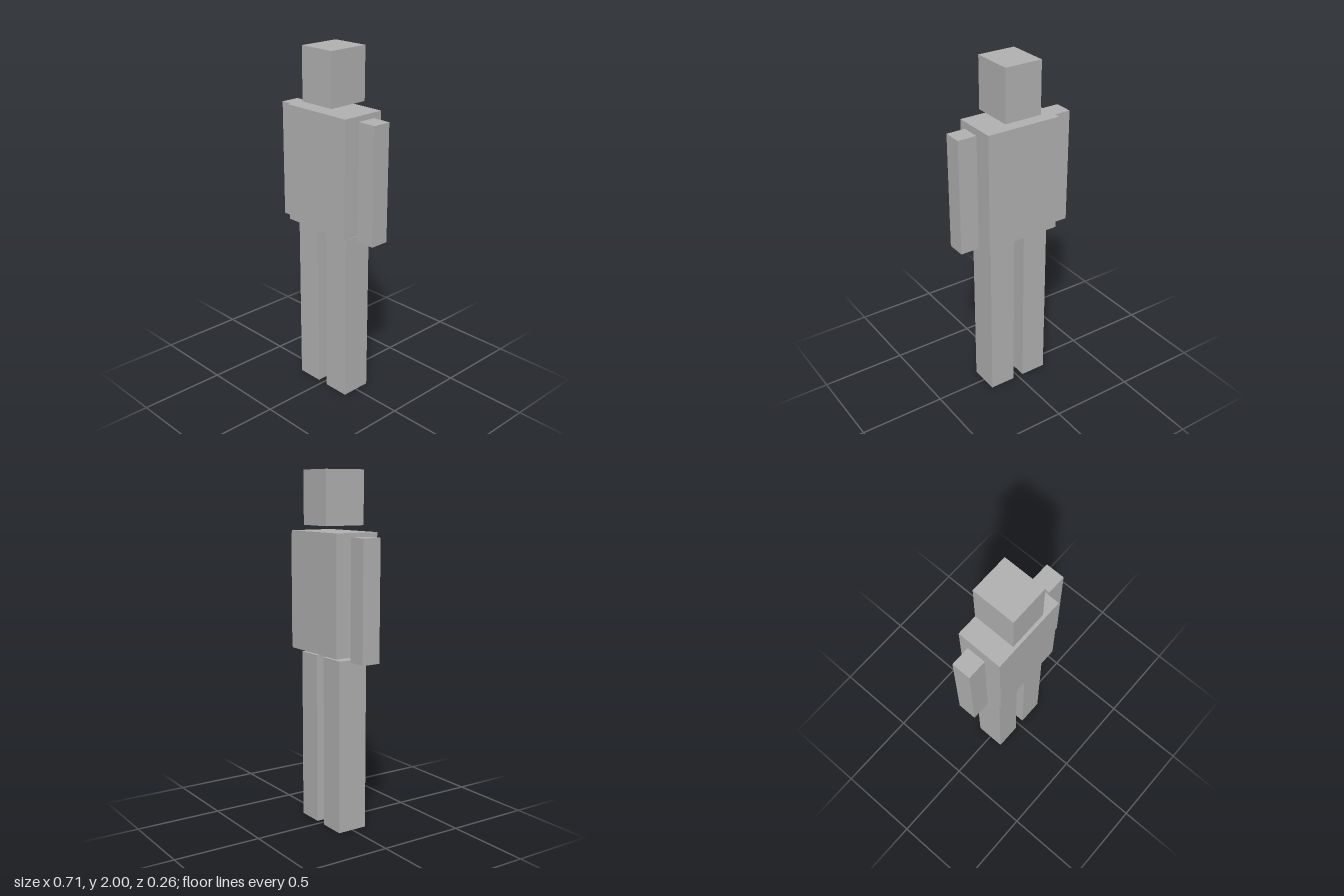
import * as THREE from 'three';

export function createModel() {
  const grey = new THREE.MeshStandardMaterial({ color: 0xb2b2b2 });
  grey.name = 'grey';
  const figure = new THREE.Group();
  figure.name = 'blockFigure';

  // Box centred on z = 0, spanning bottom to top
  const addBlock = (name, x, bottom, top, width, depth) => {
    const block = new THREE.Mesh(new THREE.BoxGeometry(width, top - bottom, depth), grey);
    block.name = name;
    block.position.set(x, (bottom + top) / 2, 0);
    figure.add(block);
  };

  addBlock('head', 0, 1.702, 2, 0.222, 0.245);
  addBlock('torso', 0, 1.002, 1.669, 0.444, 0.265);

  // Mirrored limbs, left is +x
  for (const [side, s] of [['left', 1], ['right', -1]]) {
    addBlock(side + 'Arm', s * 0.299, 0.98, 1.647, 0.111, 0.11);
    addBlock(side + 'Leg', s * 0.111, 0, 0.98, 0.155, 0.178);
  }
  return figure;
}
